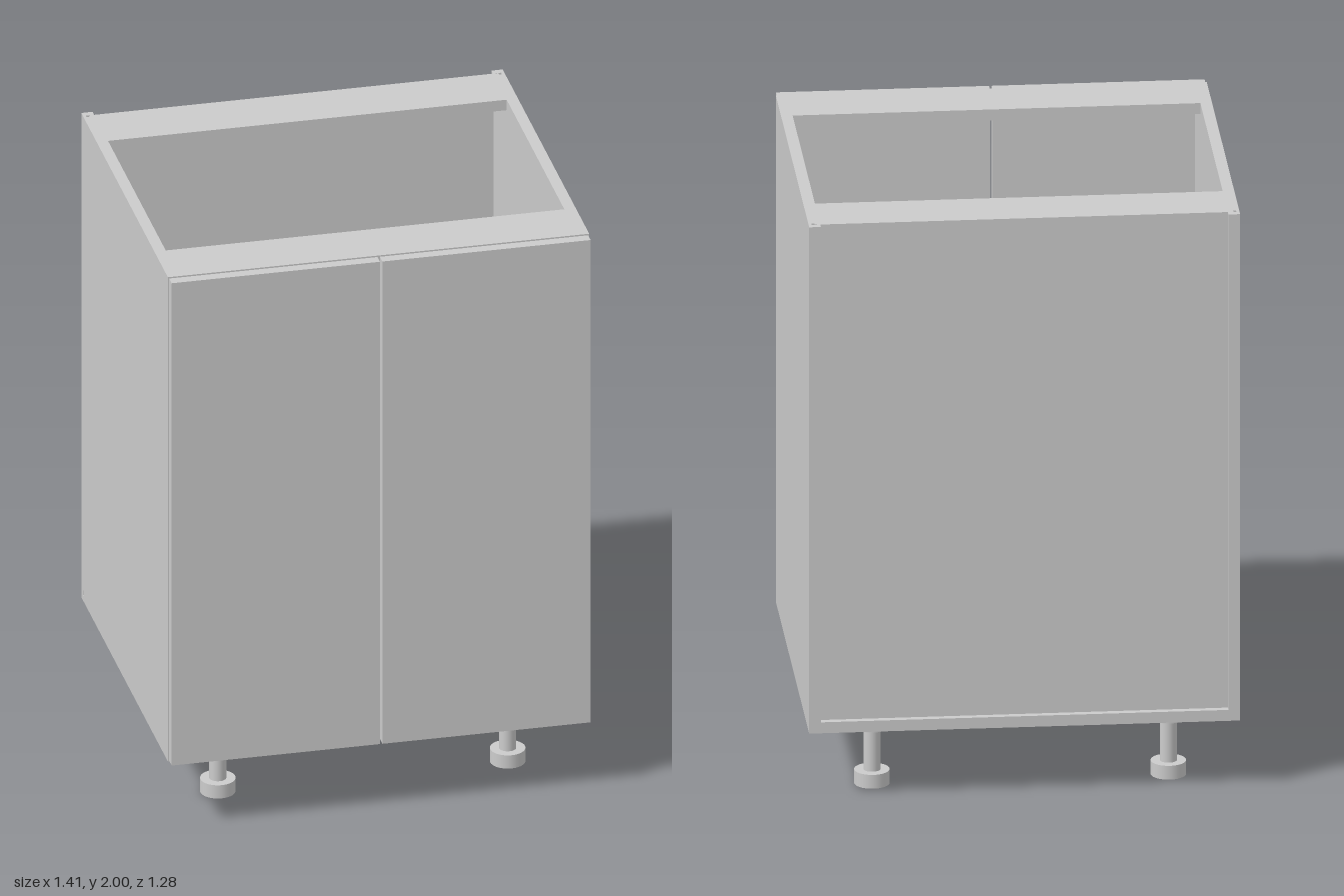
import * as THREE from 'three';

const material = new THREE.MeshStandardMaterial({ color: 0xcccccc });

// Main dimensions of the carcass
const W = 0.705, INNER = 0.667;          // outer and inner half widths
const BACK = -0.64, FRONT = 0.602;       // carcass depth
const BASE = 0.24, FLOOR = 0.278, TOP = 2;
const GROOVE_BACK = -0.618, GROOVE_FRONT = -0.606;

function add(parent, name, geometry) {
  const mesh = new THREE.Mesh(geometry, material);
  mesh.name = name;
  parent.add(mesh);
  return mesh;
}

// Box given by its limits on each axis
function addBox(parent, name, [x0, x1], [y0, y1], [z0, z1]) {
  const box = add(parent, name, new THREE.BoxGeometry(x1 - x0, y1 - y0, z1 - z0));
  box.position.set((x0 + x1) / 2, (y0 + y1) / 2, (z0 + z1) / 2);
  return box;
}

function extrude(points, depth) {
  const shape = new THREE.Shape(points.map(([x, y]) => new THREE.Vector2(x, y)));
  return new THREE.ExtrudeGeometry(shape, { depth, bevelEnabled: false });
}

// Upright side panel, with a groove that takes the back panel
function addSide(parent, name, s) {
  const plan = [
    [W, BACK], [W, FRONT], [INNER, FRONT], [INNER, GROOVE_FRONT],
    [0.695, GROOVE_FRONT], [0.695, GROOVE_BACK], [INNER, GROOVE_BACK], [INNER, BACK],
  ].map(([x, z]) => [s * x, -z]);
  const geometry = extrude(plan, TOP - FLOOR);
  geometry.rotateX(-Math.PI / 2).translate(0, FLOOR, 0);
  add(parent, name, geometry);
}

// Bottom panel, with the same groove running through to both sides
function addBottom(parent) {
  const geometry = extrude([
    [BACK, BASE], [FRONT, BASE], [FRONT, FLOOR], [GROOVE_FRONT, FLOOR],
    [GROOVE_FRONT, 0.258], [GROOVE_BACK, 0.258], [GROOVE_BACK, FLOOR], [BACK, FLOOR],
  ], 2 * W);
  geometry.rotateY(-Math.PI / 2).translate(W, 0, 0);
  add(parent, 'bottomPanel', geometry);
}

// Adjustable foot: base disc, stem and mounting disc
function addFoot(parent, name, x, z) {
  const foot = new THREE.Group();
  foot.name = name;
  foot.position.set(x, 0, z);
  for (const [part, r, y0, y1] of [
    ['footBase', 0.058, 0, 0.048],
    ['footStem', 0.028, 0.048, 0.195],
    ['footMount', 0.058, 0.195, BASE],
  ]) {
    add(foot, part, new THREE.CylinderGeometry(r, r, y1 - y0, 40)).position.y = (y0 + y1) / 2;
  }
  parent.add(foot);
}

export function createModel() {
  const cabinet = new THREE.Group();
  cabinet.name = 'baseCabinet';

  // Carcass
  addBottom(cabinet);
  addSide(cabinet, 'leftSide', 1);
  addSide(cabinet, 'rightSide', -1);
  addBox(cabinet, 'backPanel', [-0.685, 0.685], [0.267, TOP], [-0.617, GROOVE_FRONT]);
  addBox(cabinet, 'rearTopRail', [-INNER, INNER], [TOP - 0.038, TOP], [GROOVE_FRONT, -0.42]);
  addBox(cabinet, 'frontTopRail', [-INNER, INNER], [TOP - 0.038, TOP], [0.408, FRONT]);
  addBox(cabinet, 'shelf', [-INNER, INNER], [1.122, 1.16], [GROOVE_FRONT, 0.59]);

  // Pair of doors with a narrow gap between them
  addBox(cabinet, 'leftDoor', [0.004, 0.701], [0.243, 1.996], [0.604, 0.64]);
  addBox(cabinet, 'rightDoor', [-0.701, -0.004], [0.243, 1.996], [0.604, 0.64]);

  // Feet
  for (const [side, x] of [['Left', 0.485], ['Right', -0.485]]) {
    addFoot(cabinet, `front${side}Foot`, x, 0.375);
    addFoot(cabinet, `back${side}Foot`, x, -0.47);
  }
  return cabinet;
}
